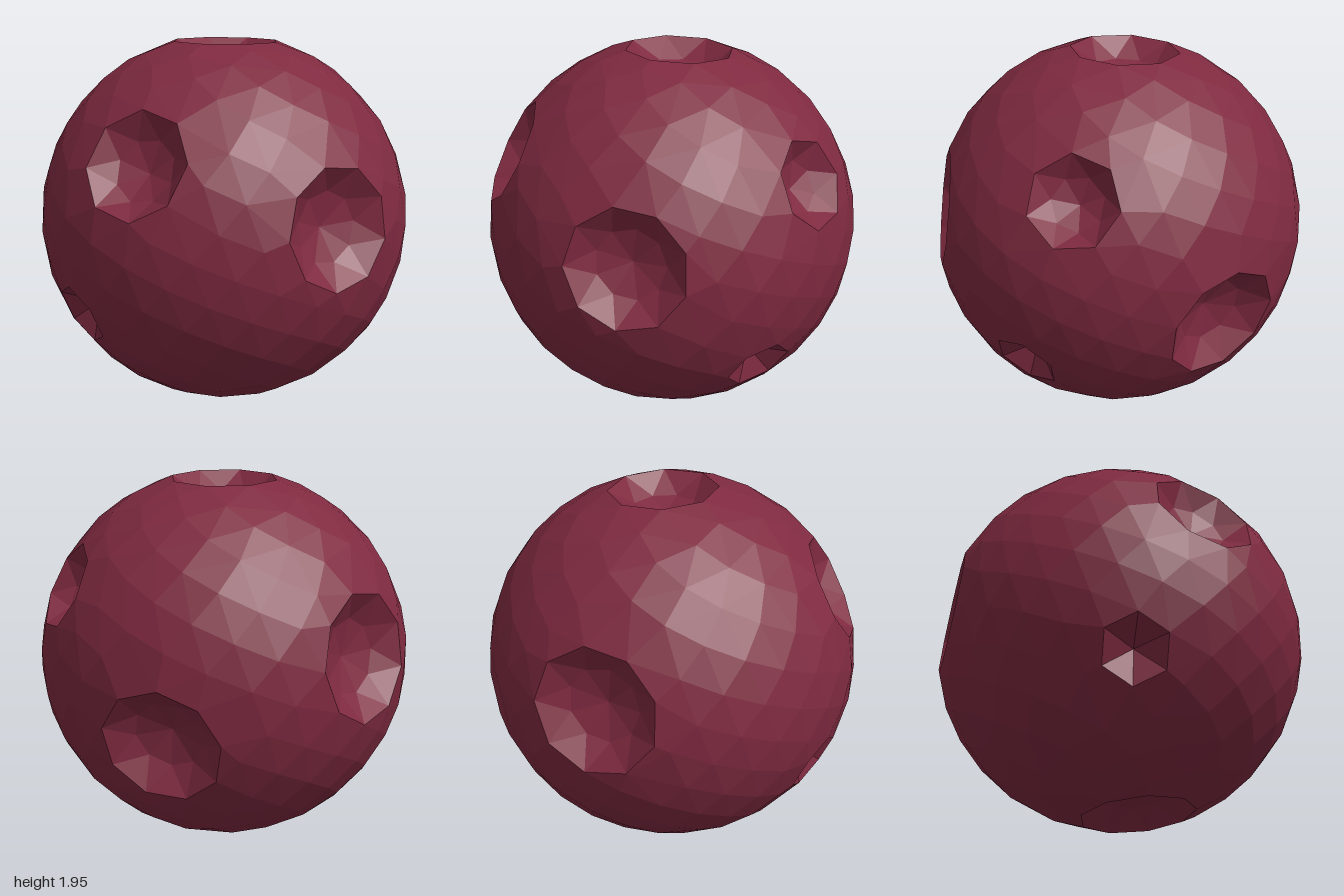
import * as THREE from 'three';
import { ConvexGeometry } from 'three/addons/geometries/ConvexGeometry.js';

// Crater: direction from the centre, rim radius, depth below the rim plane, rim sides
const craters = [
  [[0.23, 0.46, 0.86], 0.29, 0.14, 8],
  [[-0.17, -0.41, 0.89], 0.18, 0.12, 6],
  [[0.98, 0.13, 0.13], 0.32, 0.15, 9],
  [[0.66, -0.53, -0.53], 0.18, 0.12, 6],
  [[0.46, 0.43, -0.77], 0.24, 0.14, 7],
  [[-0.03, 1, -0.04], 0.29, 0.15, 8],
  [[-0.98, 0.12, -0.03], 0.34, 0.15, 9],
  [[0.1, -1, 0.03], 0.31, 0.15, 9],
  [[-0.31, -0.29, -0.905], 0.32, 0.16, 9],
].map(([d, radius, depth, sides]) => {
  const axis = new THREE.Vector3(...d).normalize();
  const u = new THREE.Vector3(0.31, 0.47, 0.83).cross(axis).normalize();
  const v = axis.clone().cross(u);
  return { axis, u, v, radius, depth, sides, rimHeight: Math.sqrt(1 - radius * radius) };
});

// Ring of points on the unit sphere around a crater axis
function ring(c, radius, turn) {
  return Array.from({ length: c.sides }, (_, i) => {
    const a = ((i + turn) / c.sides) * Math.PI * 2;
    return c.axis.clone().multiplyScalar(Math.sqrt(1 - radius * radius))
      .addScaledVector(c.u, Math.cos(a) * radius)
      .addScaledVector(c.v, Math.sin(a) * radius);
  });
}

function cratedSphere() {
  const points = [];
  // Evenly scattered ball points, kept clear of the craters
  const count = 300;
  for (let i = 0; i < count; i++) {
    const y = 1 - (2 * i + 1) / count;
    const r = Math.sqrt(1 - y * y);
    const a = i * Math.PI * (3 - Math.sqrt(5));
    const p = new THREE.Vector3(Math.cos(a) * r, y, Math.sin(a) * r);
    if (craters.every((c) => p.angleTo(c.axis) > Math.asin(c.radius) + 0.08)) points.push(p);
  }
  // Crater rims, inner rings and centres
  for (const c of craters) {
    points.push(...ring(c, c.radius, 0), c.axis.clone());
    if (c.sides > 6) points.push(...ring(c, c.radius * 0.58, 0.5));
  }
  const geometry = new ConvexGeometry(points);

  // Push everything inside a rim down into a bowl
  const pos = geometry.attributes.position;
  const p = new THREE.Vector3();
  for (let i = 0; i < pos.count; i++) {
    p.fromBufferAttribute(pos, i);
    for (const c of craters) {
      const h = p.dot(c.axis);
      if (h < c.rimHeight + 0.002) continue;
      const t = Math.sqrt(Math.max(0, 1 - h * h)) / c.radius;
      p.addScaledVector(c.axis, c.rimHeight - c.depth * (1 - t * t) - h);
      pos.setXYZ(i, p.x, p.y, p.z);
      break;
    }
  }
  // Stand on the ground, centred
  geometry.computeBoundingBox();
  const box = geometry.boundingBox;
  geometry.translate(-(box.min.x + box.max.x) / 2, -box.min.y, -(box.min.z + box.max.z) / 2);
  geometry.computeVertexNormals();
  return geometry;
}

export function createModel() {
  const group = new THREE.Group();
  group.name = 'crateredBall';
  const material = new THREE.MeshStandardMaterial({ color: 0x7f2a40, flatShading: true });
  const ball = new THREE.Mesh(cratedSphere(), material);
  ball.name = 'ball';
  group.add(ball);
  return group;
}
